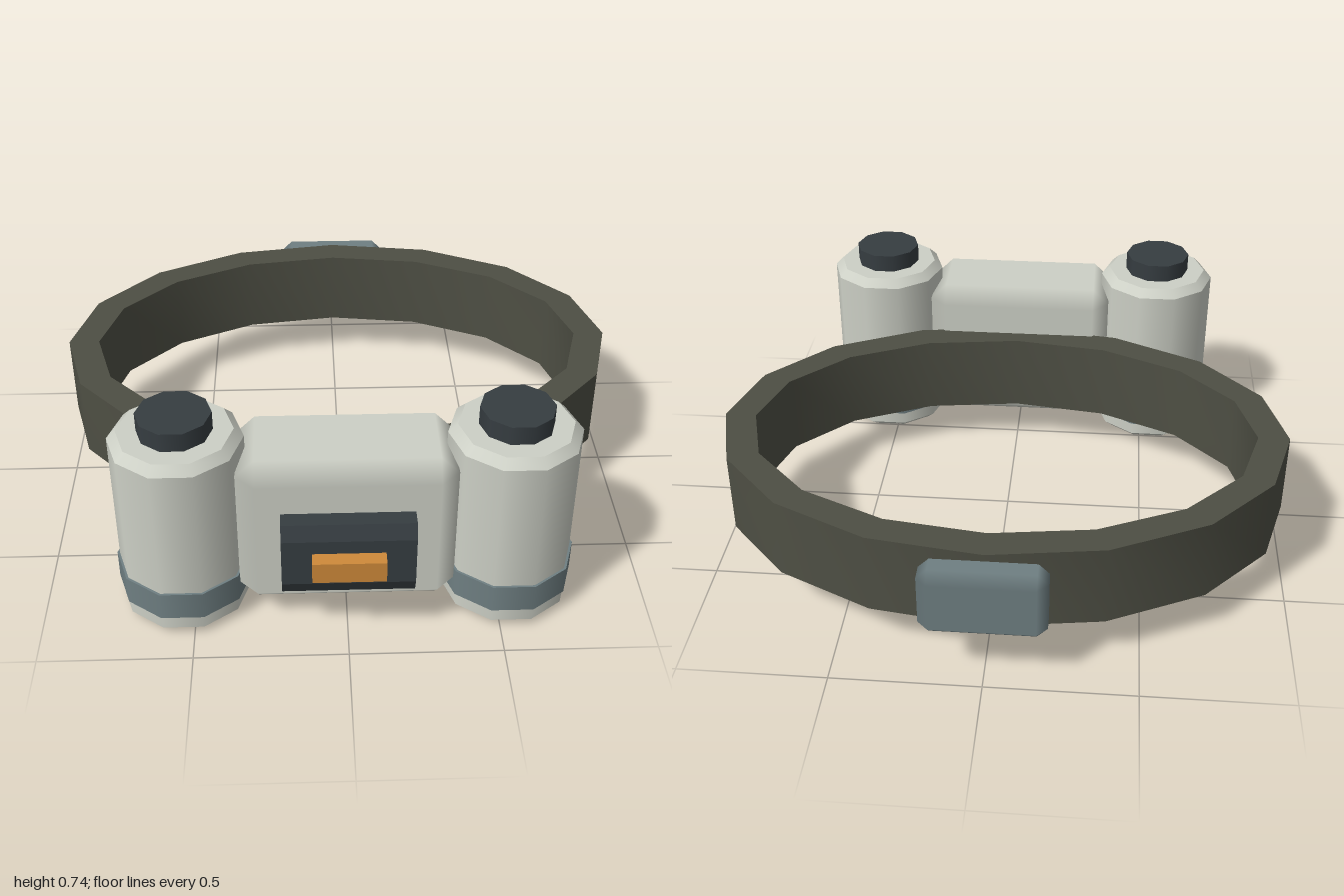
import * as THREE from 'three';
import { ConvexGeometry } from 'three/addons/geometries/ConvexGeometry.js';
import { toCreasedNormals } from 'three/addons/utils/BufferGeometryUtils.js';

const paint = (color) => new THREE.MeshStandardMaterial({ color });
const SHELL = paint(0xcdd0c6), STEEL = paint(0x6f7f82), DARK = paint(0x363d41);
const ORANGE = paint(0xcf8a3a), WEBBING = paint(0x4e4f44);

function add(parent, name, geometry, material, x = 0, y = 0, z = 0) {
  const mesh = new THREE.Mesh(geometry, material);
  mesh.name = name;
  mesh.position.set(x, y, z);
  parent.add(mesh);
  return mesh;
}

// Box with single chamfers: flat faces, shading blended across the chamfers
function chamferBox(w, h, d, c) {
  const half = [w / 2, h / 2, d / 2];
  const points = [];
  for (let axis = 0; axis < 3; axis++)
    for (const sx of [-1, 1]) for (const sy of [-1, 1]) for (const sz of [-1, 1]) {
      const p = [sx, sy, sz].map((s, i) => s * (half[i] - (i === axis ? 0 : c)));
      points.push(new THREE.Vector3(...p));
    }
  const geo = new ConvexGeometry(points);
  const pos = geo.attributes.position;
  for (let i = 0; i < pos.count; i++) {
    const p = [pos.getX(i), pos.getY(i), pos.getZ(i)];
    const n = p.map((v, k) => (Math.abs(Math.abs(v) - half[k]) < 1e-4 ? Math.sign(v) : 0));
    geo.attributes.normal.setXYZ(i, ...n);
  }
  return geo;
}

// Ten-sided disc or drum with corners on the x axis
const drum = (r, h) => new THREE.CylinderGeometry(r, r, h, 10, 1, false, Math.PI / 2);

function ellipsePoints(rx, rz, n) {
  return Array.from({ length: n }, (_, i) => {
    const a = (i / n) * Math.PI * 2;
    return new THREE.Vector2(rx * Math.cos(a), rz * Math.sin(a));
  });
}

export function createModel() {
  const model = new THREE.Group();
  model.name = 'utilityBelt';

  // Oval strap
  const oval = new THREE.Shape(ellipsePoints(1, 0.725, 16));
  oval.holes.push(new THREE.Path(ellipsePoints(0.89, 0.615, 16)));
  const strap = new THREE.ExtrudeGeometry(oval, { depth: 0.29, bevelEnabled: false });
  strap.rotateX(-Math.PI / 2);
  add(model, 'strap', toCreasedNormals(strap, 0.7), WEBBING, 0, 0.167, -0.175);

  // Rear clasp
  add(model, 'rearClasp', chamferBox(0.41, 0.245, 0.125, 0.035), STEEL, 0, 0.318, -0.9375);

  // Central case with its front panel and button
  add(model, 'centralCase', chamferBox(0.7, 0.555, 0.355, 0.06), SHELL, 0, 0.353, 0.677);
  const side = new THREE.Shape([
    [0.875, 0.215], [0.93, 0.215], [0.952, 0.265], [0.952, 0.435], [0.93, 0.485], [0.875, 0.485],
  ].map(([z, y]) => new THREE.Vector2(-z, y)));
  const panel = new THREE.ExtrudeGeometry(side, { depth: 0.42, bevelEnabled: false });
  panel.translate(0, 0, -0.21).rotateY(Math.PI / 2);
  add(model, 'frontPanel', panel, DARK);
  add(model, 'frontButton', new THREE.BoxGeometry(0.23, 0.075, 0.06), ORANGE, 0, 0.35, 0.97);

  // Canisters; repeated profile points keep the end faces crisp
  const profile = [
    [0, 0], [0.185, 0], [0.185, 0], [0.215, 0.025], [0.215, 0.025],
    [0.215, 0.645], [0.215, 0.645], [0.185, 0.675], [0.185, 0.675], [0, 0.675],
  ].map(([r, y]) => new THREE.Vector2(r, y));
  for (const s of [-1, 1]) {
    const canister = new THREE.Group();
    canister.name = s > 0 ? 'leftCanister' : 'rightCanister';
    canister.position.set(s * 0.535, 0, 0.682);
    const body = new THREE.LatheGeometry(profile, 10, Math.PI / 2);
    body.normalizeNormals();
    add(canister, 'canisterBody', body, SHELL);
    add(canister, 'canisterBand', drum(0.223, 0.1), STEEL, 0, 0.125);
    add(canister, 'canisterCap', drum(0.12, 0.075), DARK, 0, 0.7025);
    model.add(canister);
  }
  return model;
}
